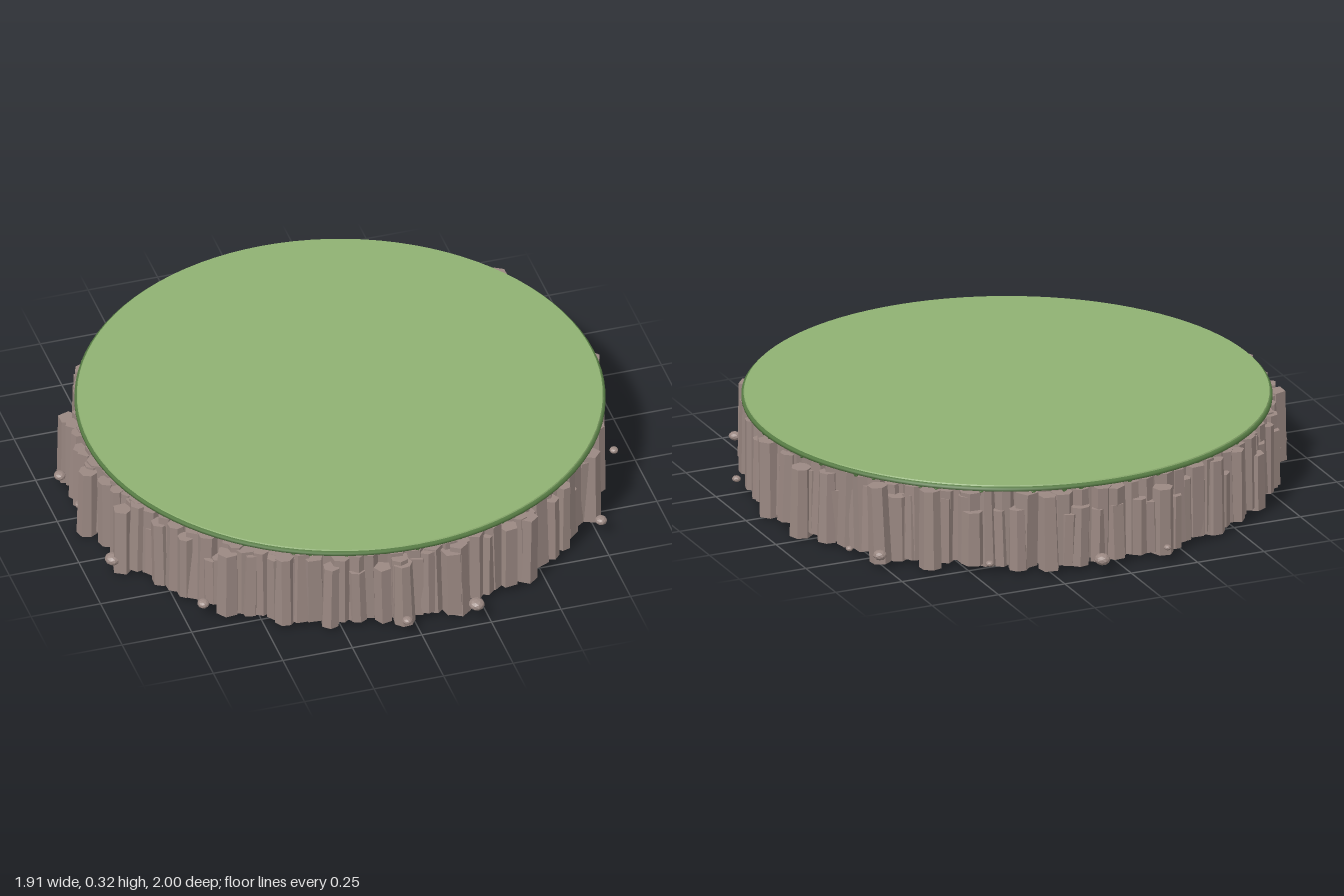
import * as THREE from 'three';

export function createModel() {
  const model = new THREE.Group();
  const mat = (name, color, flatShading) => {
    const m = new THREE.MeshStandardMaterial({ color, flatShading });
    m.name = name;
    return m;
  };
  const grass = mat('grass', 0x8fb172, false);
  const turf = mat('dark turf', 0x587d45, false);
  const rock = mat('rock', 0x9a8882, true);

  // Small seeded random generator
  let seed = 7;
  const rnd = (a, b) => {
    seed = (seed * 16807) % 2147483647;
    return a + (b - a) * seed / 2147483647;
  };
  const add = (name, geo, material, x, y, z, parent = model) => {
    const m = new THREE.Mesh(geo, material);
    m.name = name;
    m.position.set(x, y, z);
    parent.add(m);
    return m;
  };
  const CX = 0.016, CZ = 0.002;

  // Turf slab with a slightly wider lip, topped by thin grass
  const lip = [[0, 0.297], [0.9, 0.297], [0.912, 0.301], [0.912, 0.31], [0.905, 0.316], [0, 0.316]]
    .map(([r, y]) => new THREE.Vector2(r, y));
  add('turfSlab', new THREE.LatheGeometry(lip, 96), turf, CX, 0, CZ);
  add('grassTop', new THREE.CylinderGeometry(0.902, 0.905, 0.006, 96), grass, CX, 0.317, CZ);

  // Ragged turf clumps hanging under the lip
  const clumps = new THREE.Group();
  clumps.name = 'turfClumps';
  model.add(clumps);
  for (let i = 0; i < 44; i++) {
    const a = (i + rnd(0, 0.8)) / 44 * Math.PI * 2;
    const c = add('turfClump', new THREE.IcosahedronGeometry(0.01, 0), turf,
      CX + Math.sin(a) * 0.898, 0.297, CZ + Math.cos(a) * 0.898, clumps);
    c.scale.set(1, rnd(0.4, 1.1), 1);
  }

  // Solid core behind the cliff columns
  add('rockCore', new THREE.CylinderGeometry(0.865, 0.865, 0.275, 64), rock, 0.005, 0.1575, 0.005);

  // Cliff columns: an inner tall row and an outer broken row
  const columns = new THREE.Group();
  columns.name = 'cliffColumns';
  model.add(columns);
  const column = (a, dist, r, bottom, top) => {
    const h = top - bottom;
    const sides = 5 + Math.floor(rnd(0, 2.99));
    const g = new THREE.CylinderGeometry(r * rnd(0.82, 1), r, h, sides);
    const c = add('cliffColumn', g, rock,
      Math.sin(a) * dist, bottom + h / 2, Math.cos(a) * dist + 0.004, columns);
    c.rotation.set(rnd(-0.035, 0.035), rnd(0, 6.28), rnd(-0.035, 0.035));
  };
  const inner = 84, outer = 92;
  for (let i = 0; i < inner; i++) {
    const a = (i + rnd(-0.25, 0.25)) / inner * Math.PI * 2;
    column(a, rnd(0.855, 0.875), rnd(0.034, 0.046), rnd(0.012, 0.024), rnd(0.275, 0.291));
  }
  for (let i = 0; i < outer; i++) {
    const a = (i + rnd(-0.4, 0.4)) / outer * Math.PI * 2;
    column(a, rnd(0.868, 0.9), rnd(0.026, 0.04), rnd(0.008, 0.024), rnd(0.2, 0.285));
  }

  // Larger outcrops pushing past the grass edge, at [x, z]
  [[-0.17, -0.89], [0.25, -0.87], [0.61, -0.68], [-0.41, -0.78], [0.89, -0.22], [-0.92, 0.09],
    [0.75, 0.53], [0.44, 0.8], [-0.04, 0.91], [-0.6, 0.68], [-0.43, 0.79], [-0.76, -0.46],
    [0.75, -0.56], [0.14, 0.9], [0.91, 0], [-0.89, -0.23], [-0.87, 0.33]].forEach(([x, z]) => {
    column(Math.atan2(x, z), Math.hypot(x, z), rnd(0.036, 0.044), rnd(0.004, 0.014), rnd(0.25, 0.29));
  });
  column(0.18, 0.91, 0.04, 0, 0.28);

  // Loose stones around the foot: [x, z, radius]
  const stones = new THREE.Group();
  stones.name = 'looseStones';
  model.add(stones);
  [[-0.155, -0.96, 0.014], [0.095, -0.97, 0.029], [0.465, -0.85, 0.015], [0.775, -0.62, 0.025],
    [0.845, -0.52, 0.013], [-0.935, -0.18, 0.022], [-0.895, -0.23, 0.029], [-0.92, 0, 0.018],
    [-0.905, 0.335, 0.029], [-0.685, 0.675, 0.022], [-0.045, 0.977, 0.019], [0.21, 0.957, 0.029],
    [0.762, 0.62, 0.022], [0.925, 0.245, 0.016]].forEach(([x, z, r]) => {
    const s = add('looseStone', new THREE.IcosahedronGeometry(r, 1), rock, x, 0.055, z, stones);
    s.scale.set(0.95, 0.7, 1.03);
  });
  return model;
}
